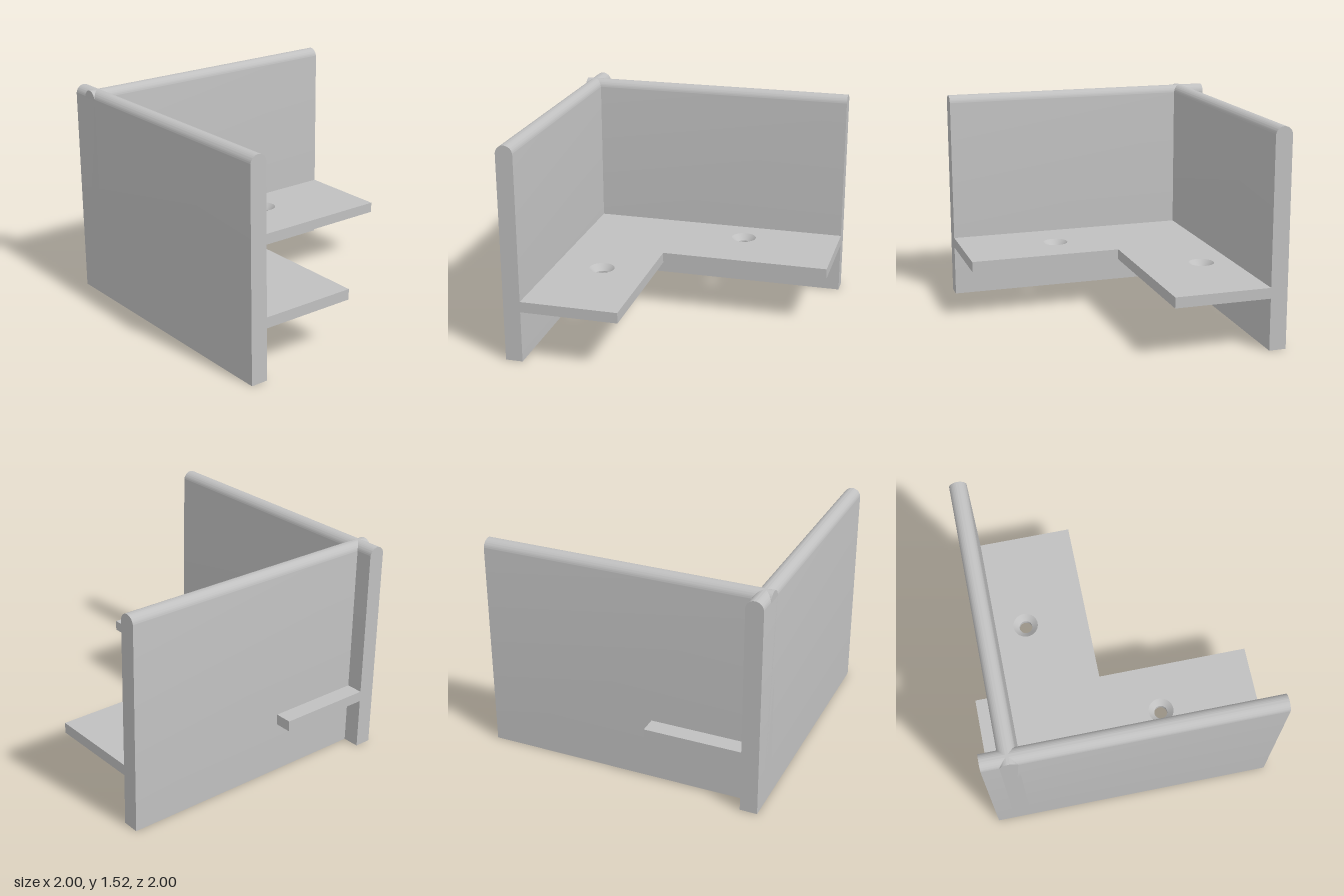
import * as THREE from 'three';
import { toCreasedNormals } from 'three/addons/utils/BufferGeometryUtils.js';

export function createModel() {
  const model = new THREE.Group();
  model.name = 'cornerBracket';
  const grey = new THREE.MeshStandardMaterial({ color: 0xc0c0c0 });
  grey.name = 'light grey';

  const add = (name, geometry, parent = model) => {
    const mesh = new THREE.Mesh(geometry, grey);
    mesh.name = name;
    parent.add(mesh);
    return mesh;
  };

  // Upright walls with a fully rounded top edge, running along z
  const wallGeometry = () => {
    const r = 0.06, top = 1.52;
    const s = new THREE.Shape();
    s.moveTo(-r, 0);
    s.lineTo(r, 0);
    s.lineTo(r, top - r);
    s.absarc(0, top - r, r, 0, Math.PI, false);
    s.closePath();
    const g = new THREE.ExtrudeGeometry(s, { depth: 2, bevelEnabled: false, curveSegments: 24 });
    return toCreasedNormals(g.translate(0, 0, -1), 0.5);
  };
  add('frontWall', wallGeometry().rotateY(Math.PI / 2)).position.z = 0.94;
  add('sideWall', wallGeometry()).position.x = -0.82;

  // L-shaped shelf with two countersunk holes; points are (x, z)
  const low = 0.365, high = 0.44, boreTop = 0.397;
  const boreRadius = 0.047, sinkRadius = 0.09;
  const outline = [[-0.76, -1], [-0.085, -1], [-0.085, 0.2], [1, 0.2], [1, 0.88], [-0.76, 0.88]];
  const holes = [[-0.54, -0.3], [0.3, 0.54]];
  const shelf = new THREE.Group();
  shelf.name = 'shelf';
  model.add(shelf);

  // side = 1 faces down, side = -1 faces up
  const shelfFace = (side, radius) => {
    const s = new THREE.Shape(outline.map(([x, z]) => new THREE.Vector2(x, side * z)));
    for (const [x, z] of holes) {
      s.holes.push(new THREE.Path().absarc(x, side * z, radius, 0, Math.PI * 2, true));
    }
    return new THREE.ShapeGeometry(s, 24).rotateX(side * Math.PI / 2);
  };
  add('shelfTop', shelfFace(-1, sinkRadius), shelf).position.y = high;
  add('shelfUnderside', shelfFace(1, boreRadius), shelf).position.y = low;

  // Free edges of the shelf (the last two edges meet the walls)
  for (let i = 0; i < 4; i++) {
    const [ax, az] = outline[i], [bx, bz] = outline[i + 1];
    const g = new THREE.PlaneGeometry(Math.hypot(bx - ax, bz - az), high - low);
    const edge = add('shelfEdge', g, shelf);
    edge.rotation.y = Math.atan2(bz - az, ax - bx);
    edge.position.set((ax + bx) / 2, (low + high) / 2, (az + bz) / 2);
  }

  // Hole linings, profiles run downward so they face the axis
  const lining = (r1, y1, r2, y2) =>
    new THREE.LatheGeometry([new THREE.Vector2(r1, y1), new THREE.Vector2(r2, y2)], 48);
  for (const [x, z] of holes) {
    add('countersink', lining(sinkRadius, high, boreRadius, boreTop), shelf).position.set(x, 0, z);
    add('screwHole', lining(boreRadius, boreTop, boreRadius, low), shelf).position.set(x, 0, z);
  }

  // Short continuation of the shelf outside the side wall
  add('outerLedge', new THREE.BoxGeometry(0.12, high - low, 0.68), shelf)
    .position.set(-0.94, (low + high) / 2, 0.54);

  return model;
}
